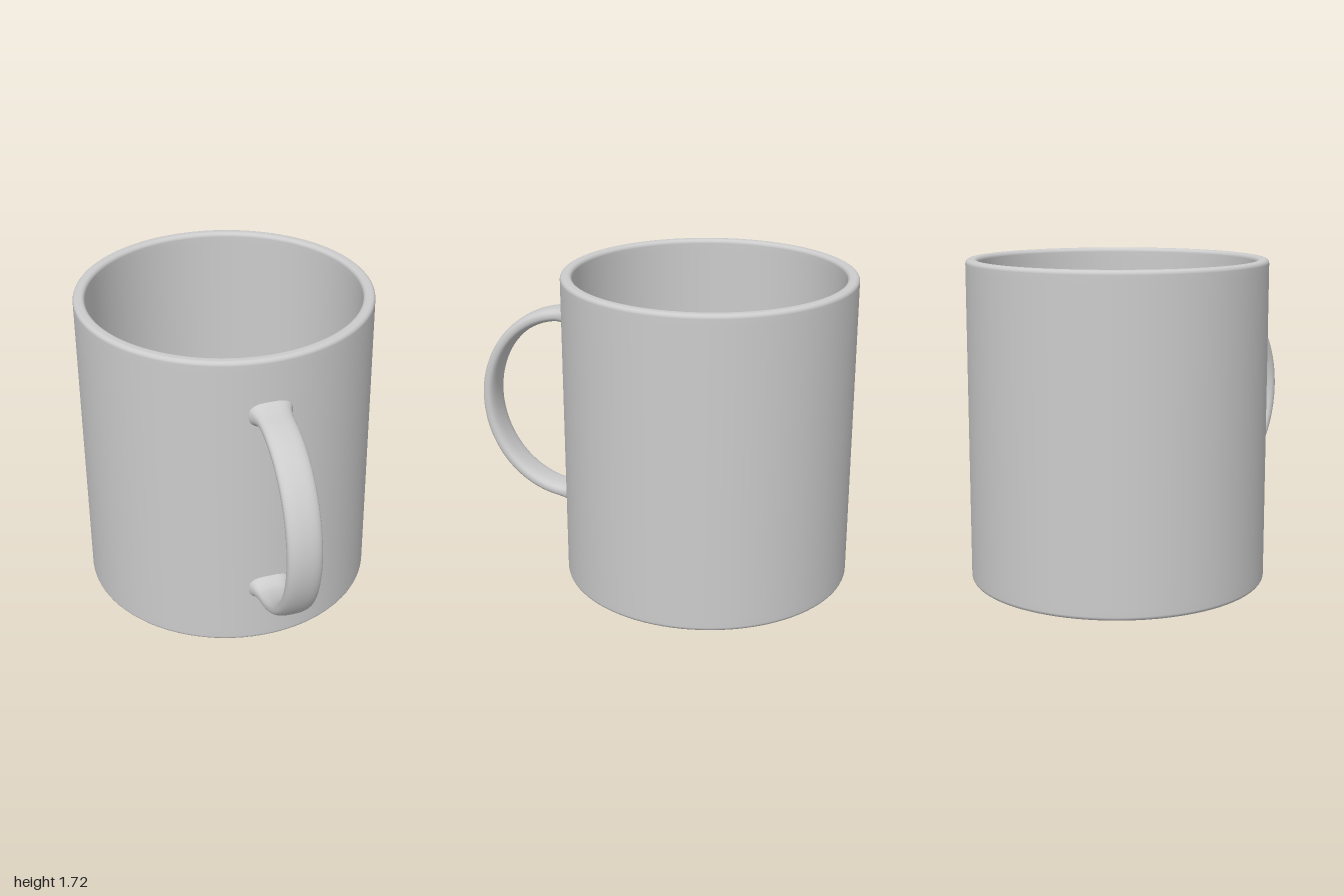
import * as THREE from 'three';

const RADIUS = 0.793, INNER = 0.73, HEIGHT = 1.72, FLOOR = 0.08;

// Quarter-round corner points about (cx, cy), from angle a0 to a1 in degrees
function corner(cx, cy, r, a0, a1, steps = 6) {
  return Array.from({ length: steps + 1 }, (_, i) => {
    const a = THREE.MathUtils.degToRad(a0 + (a1 - a0) * i / steps);
    return new THREE.Vector2(cx + r * Math.cos(a), cy + r * Math.sin(a));
  });
}

// Closed wall profile: underside, outer wall, rounded rim, inner wall, floor
function bodyGeometry() {
  const e = 0.022, f = 0.07;
  const profile = [
    new THREE.Vector2(0, 0),
    new THREE.Vector2(RADIUS - e - 0.02, 0),
    ...corner(RADIUS - e, e, e, -90, 0),
    new THREE.Vector2(RADIUS, 0.06),
    new THREE.Vector2(RADIUS, HEIGHT - 0.06),
    ...corner(RADIUS - e, HEIGHT - e, e, 0, 90),
    ...corner(INNER + e, HEIGHT - e, e, 90, 180),
    new THREE.Vector2(INNER, HEIGHT - 0.06),
    ...corner(INNER - f, FLOOR + f, f, 0, -90),
    new THREE.Vector2(INNER - f - 0.03, FLOOR),
    new THREE.Vector2(0, FLOOR),
  ];
  return new THREE.LatheGeometry(profile, 96);
}

// Flattened rounded section swept round a half ellipse, flaring into the wall
function handleGeometry() {
  const cx = 0.82, cy = 0.88, a = 0.492, b = 0.535, start = 0.745;
  const path = [];
  const ends = 10, arc = 60;
  for (let i = 0; i < ends; i++) path.push([start + (cx - start) * i / ends, cy + b, 0, 1]);
  for (let i = 0; i <= arc; i++) {
    const t = Math.PI / 2 - Math.PI * i / arc;
    const n = new THREE.Vector2(Math.cos(t) / a, Math.sin(t) / b).normalize();
    path.push([cx + a * Math.cos(t), cy + b * Math.sin(t), n.x, n.y]);
  }
  for (let i = ends - 1; i >= 0; i--) path.push([start + (cx - start) * i / ends, cy - b, 0, -1]);

  const sides = 32, power = 2 / 2.6, pos = [], idx = [];
  const round = (v) => Math.sign(v) * Math.abs(v) ** power;
  path.forEach(([x, y, nx, ny], i) => {
    const flare = THREE.MathUtils.clamp(1 - (x - 0.78) / 0.12, 0, 1) ** 2.5;
    const halfWidth = 0.09 + 0.027 * flare, halfThick = 0.038 + 0.04 * flare;
    for (let j = 0; j < sides; j++) {
      const t = j / sides * Math.PI * 2;
      const h = halfThick * round(Math.sin(t));
      pos.push(x + nx * h, y + ny * h, halfWidth * round(Math.cos(t)));
      if (i === path.length - 1) continue;
      const k = (j + 1) % sides, p = i * sides, q = p + sides;
      idx.push(p + j, q + j, q + k, p + j, q + k, p + k);
    }
  });
  const g = new THREE.BufferGeometry();
  g.setAttribute('position', new THREE.Float32BufferAttribute(pos, 3));
  g.setIndex(idx);
  g.computeVertexNormals();
  return g;
}

export function createModel() {
  const mug = new THREE.Group();
  mug.name = 'mug';
  const material = new THREE.MeshStandardMaterial({ color: 0xcccccc });

  const body = new THREE.Mesh(bodyGeometry(), material);
  body.name = 'body';

  // The handle points to the front left of the mug
  const handle = new THREE.Mesh(handleGeometry(), material);
  handle.name = 'handle';
  handle.rotation.y = -THREE.MathUtils.degToRad(30.6);

  mug.add(body, handle);
  mug.position.x = -0.207;
  const model = new THREE.Group();
  model.add(mug);
  return model;
}
